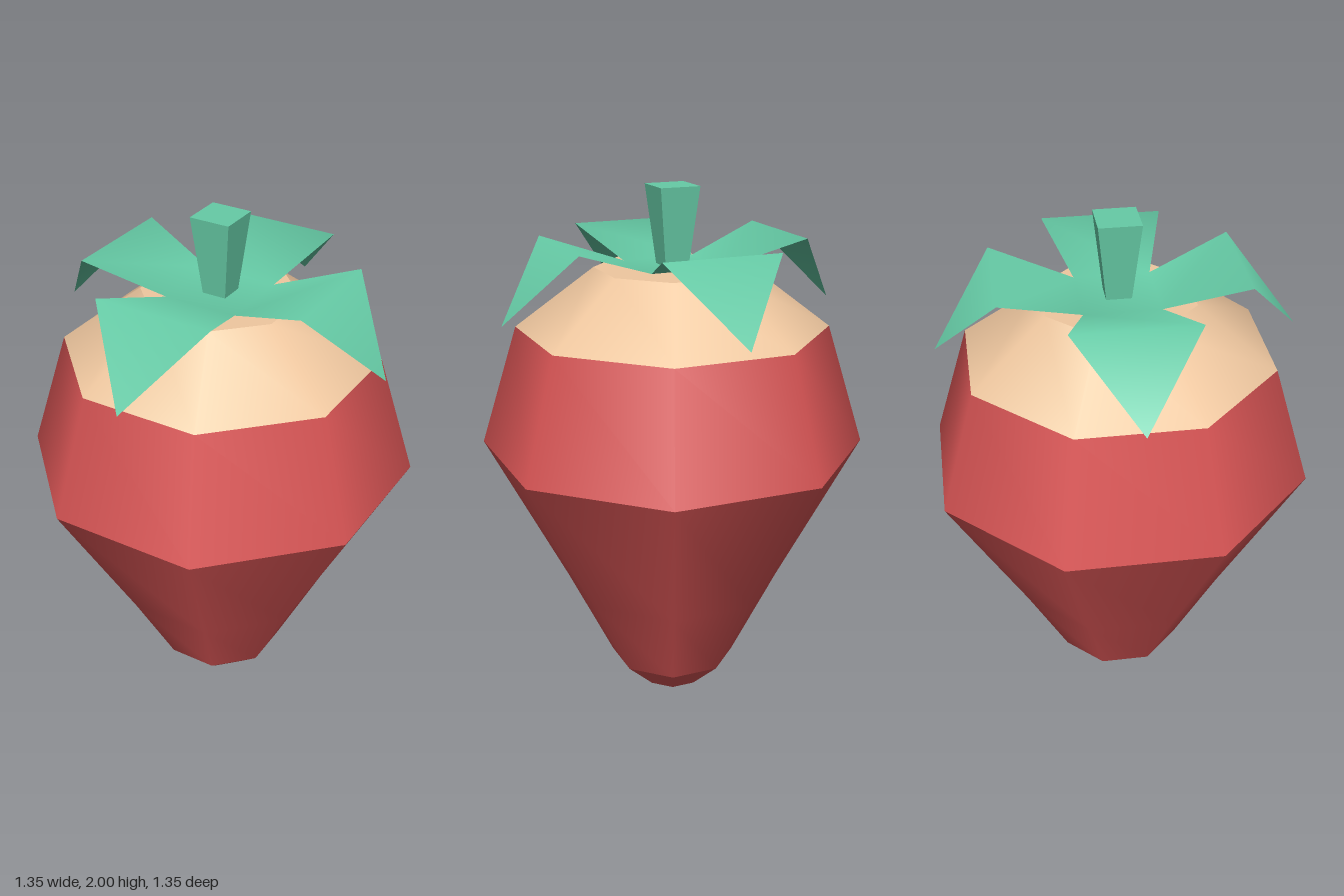
import * as THREE from 'three';

const RED = 0xd95555, CREAM = 0xf0c8a0, GREEN = 0x66cba6;
const SIDES = 8;

function addMesh(group, name, geometry, color, options = {}) {
  const mesh = new THREE.Mesh(geometry, new THREE.MeshStandardMaterial({ color, ...options }));
  mesh.name = name;
  group.add(mesh);
}

// Octagonal band; profile holds [distance to the flat side, height], bottom to top
function band(profile) {
  const points = profile.map(([r, y]) => new THREE.Vector2(r / Math.cos(Math.PI / SIDES), y));
  return new THREE.LatheGeometry(points, SIDES, Math.PI / SIDES);
}

// Flat octagon closing the body, facing up or down
function cap(r, y, up) {
  return new THREE.CircleGeometry(r / Math.cos(Math.PI / SIDES), SIDES, Math.PI / SIDES)
    .rotateX(up ? -Math.PI / 2 : Math.PI / 2)
    .translate(0, y, 0);
}

// Four bent pointed leaves growing from the edges of one small square
function leafCrown() {
  const base = [-0.14, 1.71, 0.14];
  const leaf = [[-0.225, 1.81, 0.44], [0.225, 1.81, 0.44], [0, 1.535, 0.66]];
  const positions = [];
  const index = [0, 1, 2, 0, 2, 3];
  const up = new THREE.Vector3(0, 1, 0);
  const push = (p, k) =>
    positions.push(...new THREE.Vector3(...p).applyAxisAngle(up, k * Math.PI / 2).toArray());

  for (let k = 0; k < 4; k++) push(base, k);
  for (let k = 0; k < 4; k++) {
    const left = 4 + k * 3, right = left + 1, tip = left + 2, next = (k + 1) % 4;
    leaf.forEach((p) => push(p, k));
    index.push(k, left, right, k, right, next, left, tip, right);
  }
  const geometry = new THREE.BufferGeometry();
  geometry.setAttribute('position', new THREE.Float32BufferAttribute(positions, 3));
  geometry.setIndex(index);
  geometry.computeVertexNormals();
  return geometry;
}

export function createModel() {
  const model = new THREE.Group();
  model.name = 'strawberry';

  // Red flesh: separate bands keep the rings between them sharp
  addMesh(model, 'bottomCap', cap(0.11, 0, false), RED);
  addMesh(model, 'tip', band([[0.11, 0], [0.225, 0.115]]), RED);
  addMesh(model, 'lowerBody', band([[0.225, 0.115], [0.385, 0.45], [0.675, 1.02]]), RED);
  addMesh(model, 'upperBody', band([[0.675, 1.02], [0.545, 1.475]]), RED);

  // Pale shoulder under the leaves
  addMesh(model, 'shoulder', band([[0.545, 1.475], [0.27, 1.7]]), CREAM);
  addMesh(model, 'shoulderCap', cap(0.27, 1.7, true), CREAM);

  // Leaves and square tapered stem
  addMesh(model, 'leaves', leafCrown(), GREEN, { side: THREE.DoubleSide });
  const stem = new THREE.CylinderGeometry(0.077 * Math.SQRT2, 0.046 * Math.SQRT2, 0.29, 4)
    .rotateY(Math.PI / 4)
    .translate(0, 1.855, 0);
  addMesh(model, 'stem', stem, GREEN, { flatShading: true });

  return model;
}
